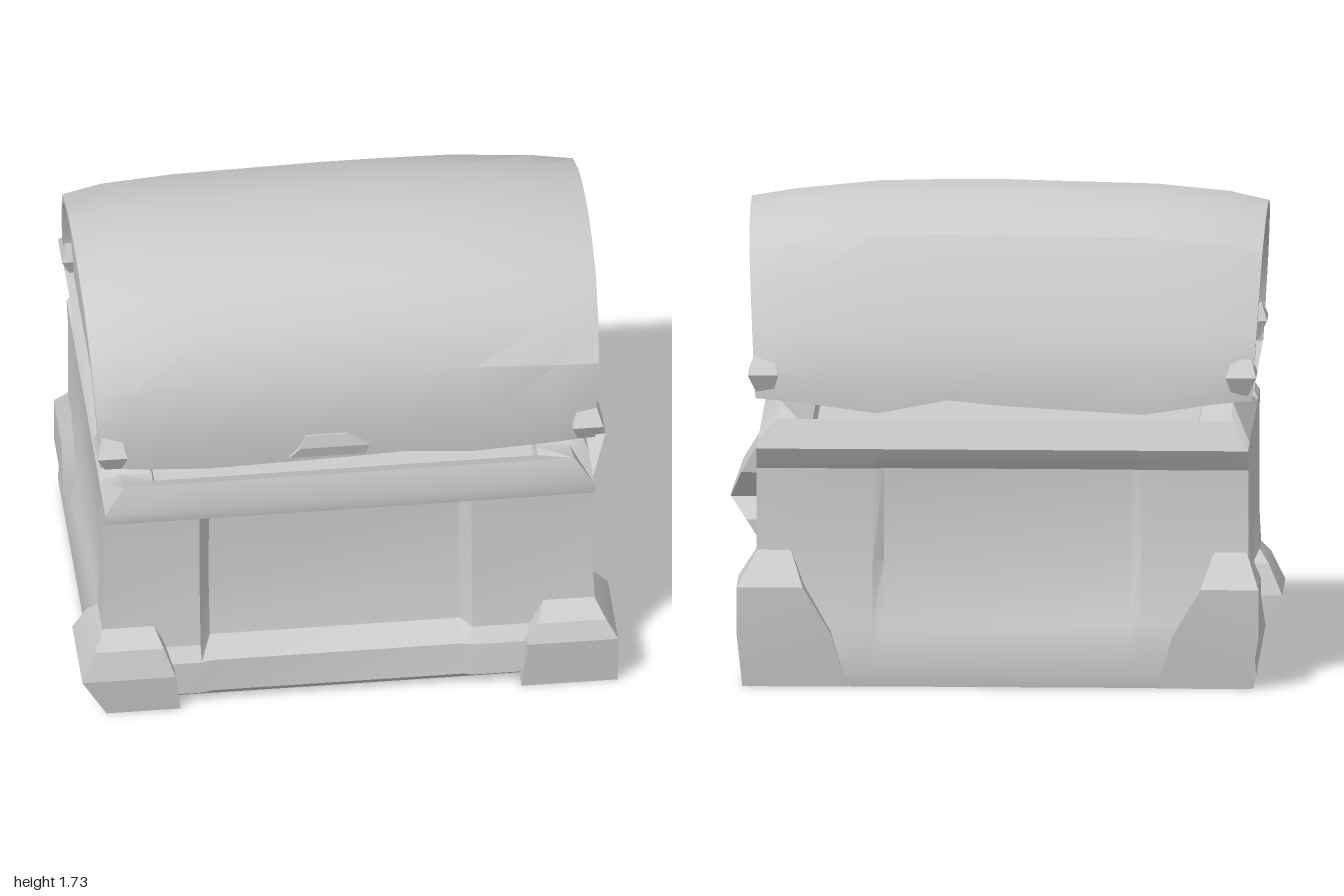
import * as THREE from 'three';
import { toCreasedNormals } from 'three/addons/utils/BufferGeometryUtils.js';

const grey = new THREE.MeshStandardMaterial({ color: 0xcccccc, side: THREE.DoubleSide });

// Closed solid skinned over rings of [x, y, z] points, capped at both ends
function loft(name, rings, crease = 0.5) {
  const n = rings[0].length, pos = rings.flat(2), idx = [];
  for (let r = 0; r < rings.length - 1; r++)
    for (let i = 0; i < n; i++) {
      const a = r * n + i, b = r * n + (i + 1) % n;
      idx.push(a, b, b + n, a, b + n, a + n);
    }
  [0, rings.length - 1].forEach((r, end) => {
    const c = pos.length / 3;
    for (let k = 0; k < 3; k++) pos.push(rings[r].reduce((s, p) => s + p[k], 0) / n);
    for (let i = 0; i < n; i++) {
      const a = r * n + i, b = r * n + (i + 1) % n;
      end ? idx.push(a, b, c) : idx.push(b, a, c);
    }
  });
  // turn the faces outwards
  const v = i => new THREE.Vector3().fromArray(pos, idx[i] * 3);
  let volume = 0;
  for (let i = 0; i < idx.length; i += 3) volume += v(i).dot(v(i + 1).cross(v(i + 2)));
  if (volume < 0) idx.reverse();
  const g = new THREE.BufferGeometry();
  g.setAttribute('position', new THREE.Float32BufferAttribute(pos, 3));
  g.setIndex(idx);
  const mesh = new THREE.Mesh(toCreasedNormals(g, crease), grey);
  mesh.name = name;
  return mesh;
}

// Rectangular ring at height y
const rect = (y, x0, x1, z0, z1) => [[x0, y, z0], [x1, y, z0], [x1, y, z1], [x0, y, z1]];

// Chest outline: corner posts at X, Z with panels set in by f (front), s (sides), b (back);
// dip lowers the sides next to the corners
function outline(y, X, Zf, Zb, f, s, b, dip = 0) {
  const inner = dip ? 0.2 : 0.41;
  const side = sx => [[X, y - dip, 0.44], [X - s, y, inner], [X - s, y, -inner], [X, y - dip, -0.48]]
    .map(([x, h, z]) => [sx * x, h, z]);
  return [
    [-X, y, Zf], [-0.54, y, Zf], [-0.5, y, Zf - f], [0.41, y, Zf - f], [0.45, y, Zf], [X, y, Zf],
    ...side(1),
    [X, y, -Zb], [0.47, y, -Zb], [0.43, y, -Zb + b], [-0.46, y, -Zb + b], [-0.5, y, -Zb], [-X, y, -Zb],
    ...side(-1).reverse(),
  ];
}

export function createModel() {
  const chest = new THREE.Group();
  chest.name = 'chest';

  // Body: flared base, recessed panels, sloping rim and shallow open top
  chest.add(loft('body', [
    [0, 0.91, 0.6, 0.66, 0, 0, 0],
    [0.05, 0.92, 0.66, 0.67, 0.01, 0, 0],
    [0.18, 0.91, 0.65, 0.66, 0.01, 0.01, 0],
    [0.23, 0.9, 0.61, 0.65, 0.06, 0.02, 0.01],
    [0.45, 0.89, 0.58, 0.6, 0.07, 0.02, 0.03],
    [0.79, 0.89, 0.58, 0.6, 0.06, 0.02, 0.01],
    [0.82, 0.89, 0.63, 0.62, 0, 0.01, 0],
    [0.87, 0.89, 0.64, 0.65, 0, 0, 0],
    [0.97, 0.82, 0.61, 0.6, 0, 0, 0, 0.07],
    [0.9, 0.7, 0.49, 0.49, 0, 0, 0],
    [0.86, 0.69, 0.48, 0.485, 0, 0, 0],
  ].map(r => outline(...r))));

  // Chunky feet: [side, x at floor, widest x, widest height] front, then back
  for (const [sx, x0, x1, h] of [[-1, 0.89, 0.98, 0.16], [1, 0.97, 0.97, 0.2]])
    chest.add(loft('frontFoot', [
      rect(0, sx * 0.62, sx * x0, 0.36, 0.68),
      rect(h, sx * 0.64, sx * x1, 0.36, 0.7),
      rect(0.27, sx * 0.68, sx * 0.93, 0.4, 0.67),
      rect(0.34, sx * 0.72, sx * 0.88, 0.46, 0.57),
    ], 0.3));
  for (const [sx, x0, x1] of [[-1, 0.9, 0.93], [1, 0.94, 0.96]])
    chest.add(loft('backFoot', [
      rect(0, sx * 0.56, sx * x0, -0.4, -0.67),
      rect(0.2, sx * 0.62, sx * x1, -0.4, -0.7),
      rect(0.37, sx * 0.72, sx * x1, -0.45, -0.71),
      rect(0.5, sx * 0.77, sx * 0.88, -0.5, -0.59),
    ], 0.3));

  // Small guards on the lower corners of the lid
  for (const sx of [-1, 1])
    for (const sz of [-1, 1])
      chest.add(loft('lidCorner', [
        rect(1.07, sx * 0.83, sx * 0.89, sz * 0.55, sz * 0.625),
        rect(1.14, sx * 0.81, sx * 0.92, sz * 0.52, sz * 0.66),
        rect(1.2, sx * 0.83, sx * 0.9, sz * 0.55, sz * 0.61),
      ], 0.3));

  // Faceted handle on the left side
  chest.add(loft('handle', [
    rect(0.45, 0.84, 0.89, -0.21, 0.06),
    rect(0.53, 0.84, 0.94, -0.21, 0.15),
    rect(0.6, 0.84, 1.0, -0.12, 0.0),
    rect(0.7, 0.84, 0.96, -0.19, 0.12),
    rect(0.82, 0.84, 0.89, -0.2, 0.08),
  ], 0.3));

  // Domed lid: arched sections along x, crowned in the middle, with set-in ends
  const arch = [
    [0.62, 1.06], [0.63, 1.18], [0.6, 1.4], [0.5, 1.54], [0.38, 1.64], [0.22, 1.69], [0.07, 1.715],
    [-0.1, 1.705], [-0.24, 1.675], [-0.4, 1.6], [-0.5, 1.46], [-0.58, 1.3], [-0.64, 1.17], [-0.64, 1.05],
  ];
  // x, depth scale, height scale, sag of the lower edge
  const stations = [
    [-0.89, 0.9, 0.86, 0], [-0.92, 0.92, 0.89, 0], [-0.92, 0.97, 0.92, 0], [-0.78, 1, 0.97, 0.01],
    [-0.52, 1, 1.01, 0.05], [0, 1, 1.03, 0.02], [0.2, 1, 1.03, 0], [0.46, 1, 1.02, 0.05],
    [0.76, 1, 0.97, 0.01], [0.91, 0.98, 0.93, 0], [0.91, 0.92, 0.9, 0], [0.88, 0.9, 0.86, 0],
  ];
  // the ends lean outwards towards the top
  chest.add(loft('lid', stations.map(([x, d, h, sag]) => arch.map(([z, y], i) => [
    x * (1 + 0.06 * (y - 1.35)),
    1.06 + (y - 1.06) * h - (i === 13 ? sag : i === 0 ? sag * 0.4 : 0),
    z * d,
  ]))));

  // Clasp under the front edge of the lid
  chest.add(loft('clasp', [
    rect(1.07, -0.22, 0.06, 0.58, 0.63),
    rect(1.12, -0.18, 0.07, 0.58, 0.645),
    rect(1.17, -0.16, -0.01, 0.58, 0.635),
  ], 0.3));

  return chest;
}
